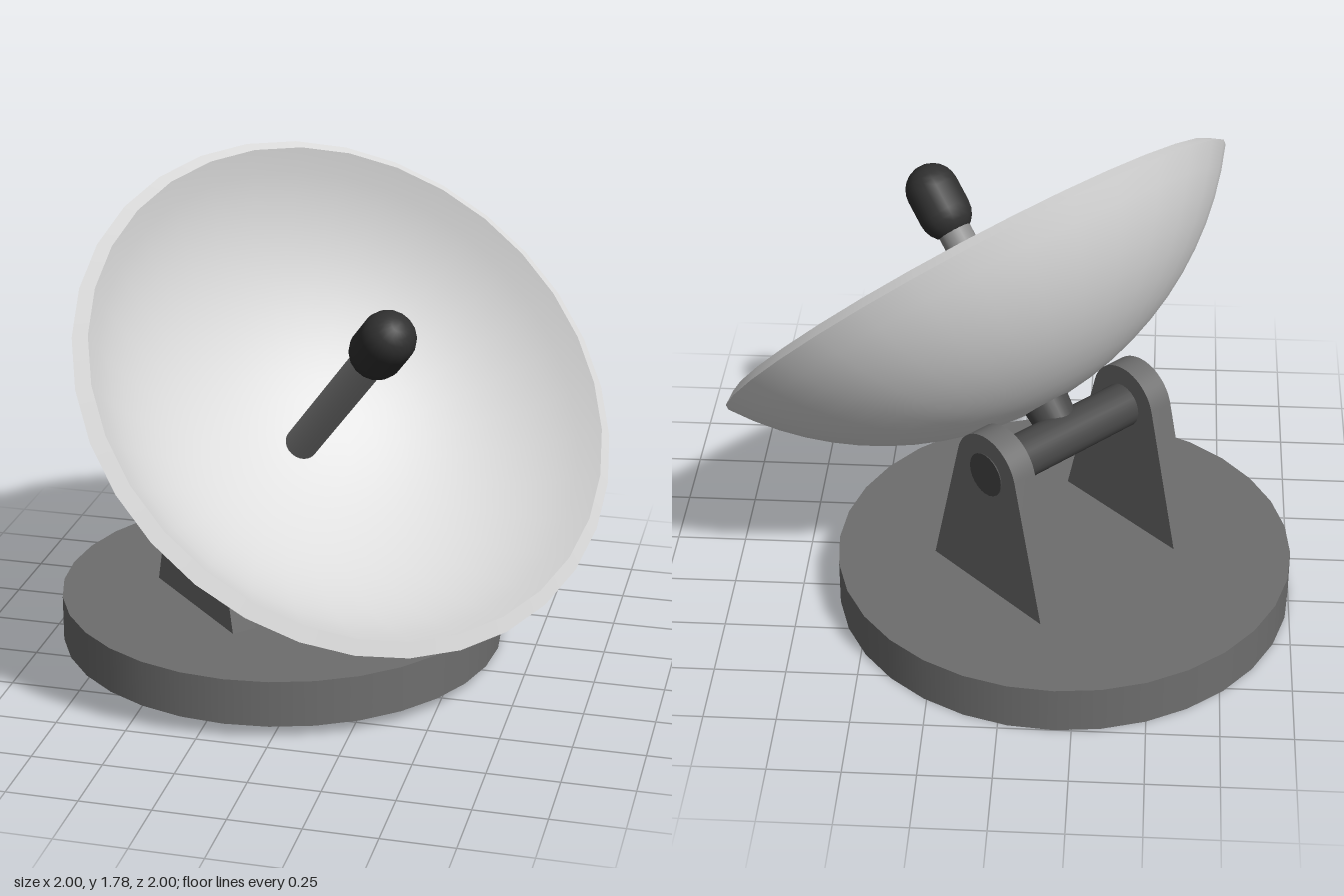
import * as THREE from 'three';
import { toCreasedNormals } from 'three/addons/utils/BufferGeometryUtils.js';

export function createModel() {
  const mat = (name, color) => {
    const m = new THREE.MeshStandardMaterial({ color });
    m.name = name;
    return m;
  };
  const gray = mat('baseGray', 0x6e6e6e);
  const light = mat('dishLightGray', 0xdedede);
  const steel = mat('mastGray', 0x8c8c8c);
  const dark = mat('axleDarkGray', 0x484848);
  const black = mat('feedBlack', 0x303030);

  const model = new THREE.Group();
  model.name = 'satelliteDish';
  // Local +z is the direction the dish points towards, local x is the hinge axis
  const turret = new THREE.Group();
  turret.name = 'turret';
  turret.position.set(-0.19, 0, -0.19);
  turret.rotation.y = Math.PI / 4;
  model.add(turret);

  const add = (parent, name, geo, material, x = 0, y = 0, z = 0) => {
    const mesh = new THREE.Mesh(geo, material);
    mesh.name = name;
    mesh.position.set(x, y, z);
    parent.add(mesh);
    return mesh;
  };

  // Round base
  const baseH = 0.17;
  add(turret, 'base', new THREE.CylinderGeometry(0.81, 0.81, baseH, 32), gray, 0, baseH / 2, 0);

  // Pair of tapered brackets with rounded tops
  const pivotY = 0.655, topR = 0.15, half = 0.28;
  const drop = pivotY - baseH;
  const tangent = Math.acos(topR / Math.hypot(half, drop)) - Math.atan2(drop, half);
  const shape = new THREE.Shape();
  shape.moveTo(-half, baseH);
  shape.lineTo(half, baseH);
  shape.absarc(0, pivotY, topR, tangent, Math.PI - tangent, false);
  shape.closePath();
  const thick = 0.092;
  const plate = toCreasedNormals(
    new THREE.ExtrudeGeometry(shape, { depth: thick, bevelEnabled: false, curveSegments: 12 })
      .translate(0, 0, -thick / 2).rotateY(Math.PI / 2), 0.6);
  for (const side of [-1, 1]) {
    add(turret, side > 0 ? 'rightBracket' : 'leftBracket', plate, gray, side * 0.322, 0, 0);
  }

  // Hinge axle, ends just proud of the brackets
  add(turret, 'axle', new THREE.CylinderGeometry(0.08, 0.08, 0.744, 24).rotateZ(Math.PI / 2),
    dark, 0, pivotY, 0);

  // Tilted dish assembly, origin at the centre of the outer rim
  const head = new THREE.Group();
  head.name = 'dishHead';
  head.position.set(0, 1.085, 0.467);
  head.rotation.x = Math.PI / 4;
  turret.add(head);

  // Spherical shell: outer skin, rim and inner skin
  const centreY = 0.7, outerR = 1.214, innerR = 1.158, open = 0.955;
  const arc = (r, from, to, n) => Array.from({ length: n + 1 }, (_, i) => {
    const a = from + (to - from) * i / n;
    return new THREE.Vector2(r * Math.sin(a), centreY - r * Math.cos(a));
  });
  const outer = arc(outerR, 0, open, 12);
  const inner = arc(innerR, open, 0, 12);
  add(head, 'dishBack', new THREE.LatheGeometry(outer, 32), light);
  add(head, 'dishRim', new THREE.LatheGeometry([outer[12], inner[0]], 32), light);
  add(head, 'dishFace', new THREE.LatheGeometry(inner, 32), light);

  // Neck from axle to dish
  add(head, 'neck', new THREE.CylinderGeometry(0.085, 0.07, 0.17, 24), dark, 0, -0.575, -0.01);

  // Feed mast and rounded receiver
  add(head, 'feedMast', new THREE.CylinderGeometry(0.06, 0.06, 0.75, 24), steel, 0, -0.105, -0.01);
  add(head, 'receiver', new THREE.CapsuleGeometry(0.097, 0.09, 6, 16), black, 0, 0.297, -0.01);

  return model;
}
